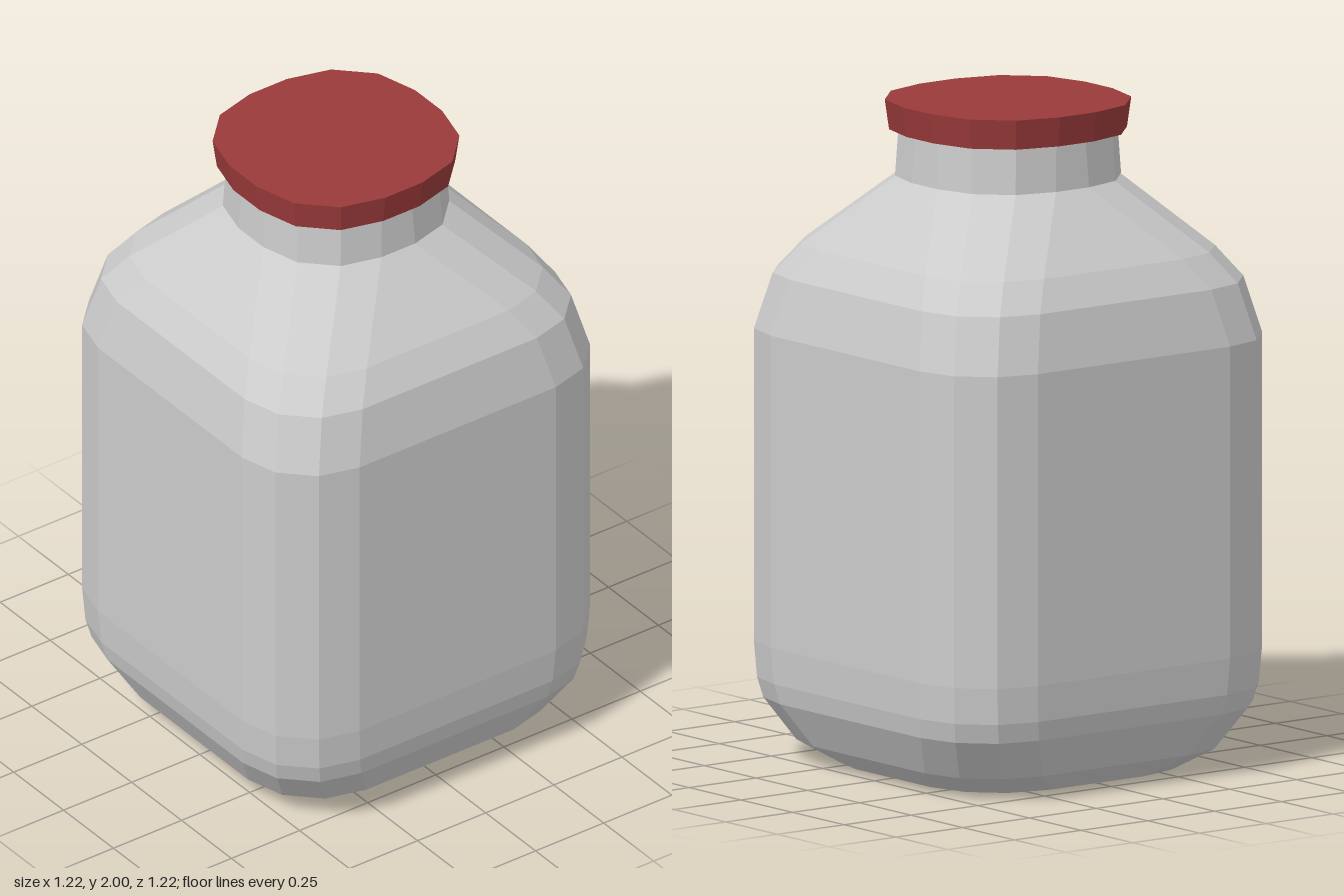
import * as THREE from 'three';

// One 16-sided rounded-square ring: half-width h, corner radius r, height y
function ring(y, h, r) {
  const points = [];
  for (let corner = 0; corner < 4; corner++) {
    const mid = Math.PI / 4 + corner * Math.PI / 2;
    const cx = Math.sign(Math.cos(mid)) * (h - r);
    const cz = Math.sign(Math.sin(mid)) * (h - r);
    for (let k = 0; k < 4; k++) {
      const t = corner * Math.PI / 2 + k * Math.PI / 6;
      points.push([cx + r * Math.cos(t), y, cz + r * Math.sin(t)]);
    }
  }
  return points;
}

// Skin a list of [y, halfWidth, cornerRadius] sections, optionally closing the ends
function loft(sections, closeBottom, closeTop) {
  const rings = sections.map((s) => ring(...s));
  const pos = [];
  const tri = (a, b, c) => pos.push(...a, ...b, ...c);
  const n = 16;
  for (let i = 0; i < n; i++) {
    const j = (i + 1) % n;
    for (let k = 0; k < rings.length - 1; k++) {
      const lo = rings[k], hi = rings[k + 1];
      tri(lo[i], hi[i], hi[j]);
      tri(lo[i], hi[j], lo[j]);
    }
    const first = rings[0], last = rings[rings.length - 1];
    if (closeBottom) tri([0, sections[0][0], 0], first[i], first[j]);
    if (closeTop) tri([0, sections[sections.length - 1][0], 0], last[j], last[i]);
  }
  const geometry = new THREE.BufferGeometry();
  geometry.setAttribute('position', new THREE.Float32BufferAttribute(pos, 3));
  geometry.computeVertexNormals();
  return geometry;
}

export function createModel() {
  const group = new THREE.Group();
  const glass = new THREE.MeshStandardMaterial({
    color: 0xcccccc, flatShading: true, side: THREE.DoubleSide,
  });
  const red = new THREE.MeshStandardMaterial({ color: 0x9a3a3a, flatShading: true });
  const add = (name, geometry, material) => {
    const mesh = new THREE.Mesh(geometry, material);
    mesh.name = name;
    group.add(mesh);
  };

  // Square jar body with rounded base and sloping shoulders
  const R = 0.25;
  const profile = [
    [0, 0.43], [0.065, 0.52], [0.19, 0.59], [0.25, 0.603], [0.36, 0.61],
    [1.3, 0.61], [1.47, 0.57], [1.56, 0.51], [1.77, 0.31],
  ];
  add('body', loft(profile.map(([y, h]) => [y, h, R]), true, false), glass);

  // Short neck running up into the lid
  add('neck', loft([[1.77, 0.312, R], [1.93, 0.304, R]], false, false), glass);

  // Flared lid with an underside rim
  add('lid', loft([[1.91, 0.29, 0.23], [1.91, 0.328, 0.262], [2, 0.34, 0.272]], true, true), red);

  return group;
}
